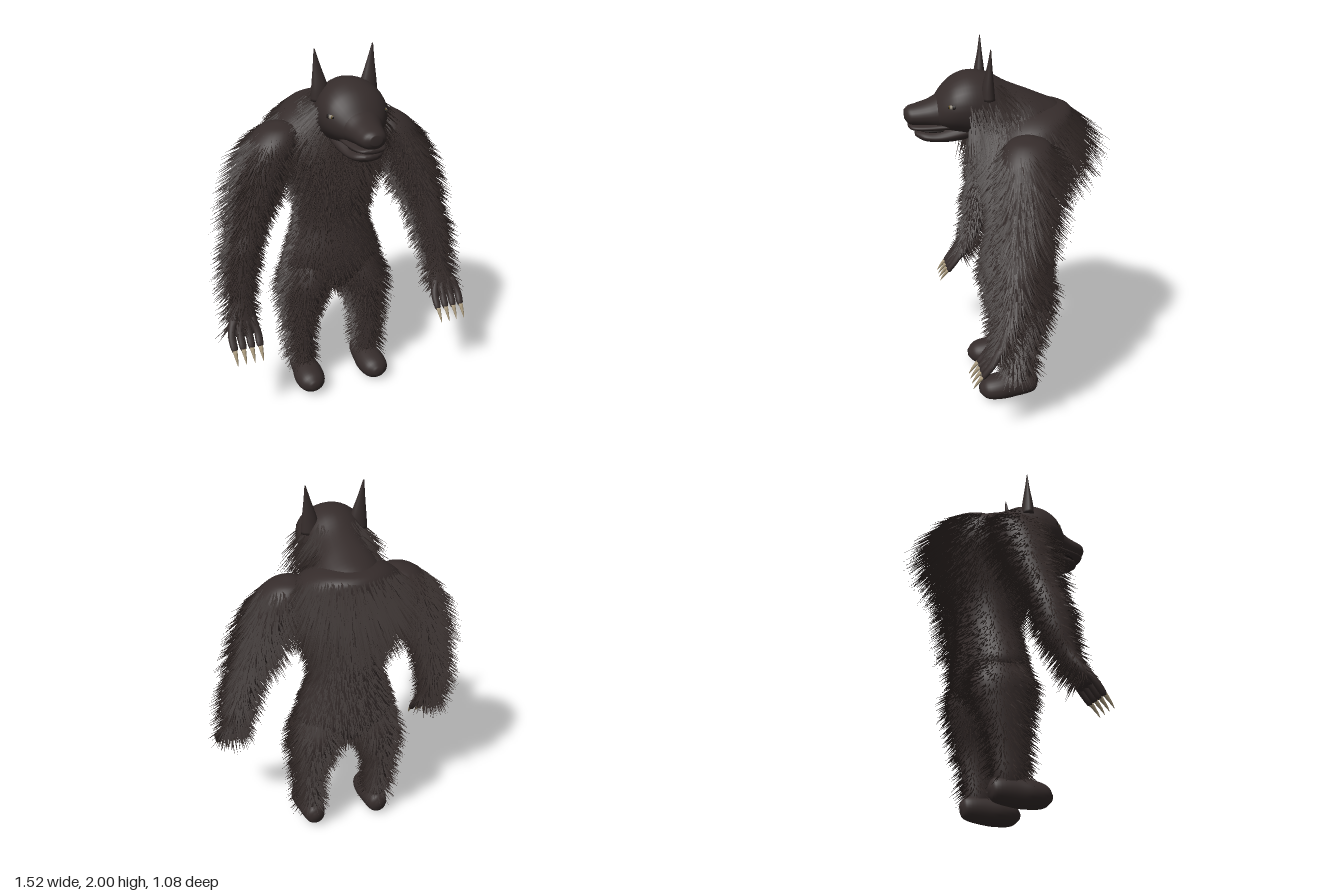
import * as THREE from 'three';

const mat = (name, color, side = THREE.FrontSide) => {
  const m = new THREE.MeshStandardMaterial({ color, side });
  m.name = name;
  return m;
};

// small seeded random source for the fur
let seed = 7;
const rnd = () => {
  seed = (seed * 16807) % 2147483647;
  return seed / 2147483647;
};

// Smooth tube through elliptical rings [x, y, z, r1, r2], listed with the axis ascending.
// axis 'y': horizontal rings (r1 in x, r2 in z); axis 'z': upright rings (r1 in x, r2 in y)
function loft(rings, axis = 'y', sx = 1, sides = 28, per = 5) {
  const mid = new THREE.CatmullRomCurve3(rings.map(r => new THREE.Vector3(r[0] * sx, r[1], r[2])), false, 'catmullrom');
  const rad = new THREE.CatmullRomCurve3(rings.map(r => new THREE.Vector3(r[3], r[4], 0)), false, 'catmullrom');
  const rows = (rings.length - 1) * per, pos = [], idx = [];
  for (let j = -1; j <= rows + 1; j++) {
    const t = Math.min(Math.max(j / rows, 0), 1), cap = j < 0 || j > rows;
    const c = mid.getPoint(t), r = rad.getPoint(t);
    const r1 = cap ? 0 : Math.max(r.x, 0.001), r2 = cap ? 0 : Math.max(r.y, 0.001);
    for (let i = 0; i < sides; i++) {
      const a = i / sides * Math.PI * 2;
      if (axis === 'y') pos.push(c.x + r1 * Math.sin(a), c.y, c.z + r2 * Math.cos(a));
      else pos.push(c.x + r1 * Math.cos(a), c.y + r2 * Math.sin(a), c.z);
    }
  }
  for (let j = 0; j < rows + 2; j++) for (let i = 0; i < sides; i++) {
    const a = j * sides + i, b = j * sides + (i + 1) % sides;
    idx.push(a, b, b + sides, a, b + sides, a + sides);
  }
  const g = new THREE.BufferGeometry();
  g.setAttribute('position', new THREE.Float32BufferAttribute(pos, 3));
  g.setIndex(idx);
  g.computeVertexNormals();
  return g;
}

// Scatter thin three-sided strands over a surface; style(p, n) gives length (0 = bare)
function fur(g, density, style, droop = 0.8) {
  const P = g.attributes.position, ix = g.index.array, out = [];
  const [a, b, c, p, n, d, u, w, tip] = Array.from({ length: 9 }, () => new THREE.Vector3());
  for (let f = 0; f < ix.length; f += 3) {
    a.fromBufferAttribute(P, ix[f]);
    b.fromBufferAttribute(P, ix[f + 1]).sub(a);
    c.fromBufferAttribute(P, ix[f + 2]).sub(a);
    n.crossVectors(b, c);
    const area = n.length() / 2;
    if (area < 1e-8) continue;
    n.normalize();
    const count = Math.floor(area * density + rnd());
    for (let k = 0; k < count; k++) {
      let s = rnd(), t = rnd();
      if (s + t > 1) { s = 1 - s; t = 1 - t; }
      p.copy(a).addScaledVector(b, s).addScaledVector(c, t);
      const len = style(p, n) * (0.55 + 0.8 * rnd());
      if (len <= 0) continue;
      // strands on upward faces lie back instead of standing up
      const up = Math.max(0, n.y);
      d.copy(n).add(new THREE.Vector3((rnd() - 0.5) * 0.3, -droop - 0.8 * up + (rnd() - 0.5) * 0.3, (rnd() - 0.5) * 0.3 - 0.5 * up)).normalize();
      u.crossVectors(d, Math.abs(d.x) < 0.8 ? new THREE.Vector3(1, 0, 0) : new THREE.Vector3(0, 0, 1)).normalize();
      w.crossVectors(d, u);
      tip.copy(p).addScaledVector(d, len);
      const base = [0, 1, 2].map(i => {
        const q = i * Math.PI * 2 / 3, r = 0.0045;
        return p.clone().addScaledVector(n, -0.003).addScaledVector(u, r * Math.cos(q)).addScaledVector(w, r * Math.sin(q));
      });
      for (let i = 0; i < 3; i++) out.push(...base[i].toArray(), ...base[(i + 1) % 3].toArray(), ...tip.toArray());
    }
  }
  const geo = new THREE.BufferGeometry();
  geo.setAttribute('position', new THREE.Float32BufferAttribute(out, 3));
  geo.computeVertexNormals();
  return geo;
}

export function createModel() {
  seed = 7;
  const model = new THREE.Group();
  const hide = mat('hide', 0x352c2b), coat = mat('coat', 0x302725, THREE.DoubleSide);
  const dark = mat('dark mouth', 0x1e1817), horn = mat('claw horn', 0xa39478);
  const eyeWhite = mat('eye', 0x8d8578), iris = mat('iris', 0x5a4a20), black = mat('pupil', 0x0c0a0a);
  const add = (name, geo, m = hide) => {
    const mesh = new THREE.Mesh(geo, m);
    mesh.name = name;
    model.add(mesh);
    return mesh;
  };
  const ball = (name, x, y, z, rx, ry, rz, m = hide) => {
    const s = add(name, new THREE.SphereGeometry(1, 20, 14), m);
    s.position.set(x, y, z);
    s.scale.set(rx, ry, rz);
    return s;
  };

  // torso, hunched at the shoulders
  const torso = loft([
    [0, 0.565, -0.05, 0.02, 0.05], [0, 0.63, -0.06, 0.14, 0.14], [0, 0.73, -0.06, 0.265, 0.18],
    [0, 0.85, -0.06, 0.25, 0.18], [0, 1.0, -0.07, 0.2, 0.165], [0, 1.15, -0.07, 0.205, 0.18],
    [0, 1.3, -0.08, 0.25, 0.215], [0, 1.45, -0.1, 0.3, 0.245], [0, 1.57, -0.13, 0.28, 0.22],
    [0, 1.65, -0.17, 0.18, 0.16], [0, 1.68, -0.18, 0.03, 0.03]], 'y', 1, 36);
  add('torso', torso);
  add('torsoFur', fur(torso, 3600, (p, n) => {
    if (n.y > 0.82 || p.y < 0.6) return 0;
    const back = Math.max(0, -n.z), high = THREE.MathUtils.smoothstep(p.y, 1.05, 1.45);
    return 0.05 + high * (0.05 + 0.1 * back);
  }, 0.95), coat);

  // neck and skull, sloping down from the brow into the muzzle
  const head = loft([
    [0, 1.52, -0.33, 0.04, 0.04], [0, 1.53, -0.28, 0.14, 0.13], [0, 1.56, -0.15, 0.185, 0.165],
    [0, 1.6, 0, 0.16, 0.19], [0, 1.665, 0.1, 0.165, 0.18], [0, 1.69, 0.2, 0.178, 0.17],
    [0, 1.69, 0.28, 0.168, 0.142], [0, 1.675, 0.335, 0.135, 0.11], [0, 1.655, 0.38, 0.09, 0.07],
    [0, 1.65, 0.41, 0.05, 0.04]], 'z', 1, 32);
  add('head', head);
  add('ruffFur', fur(head, 4400, (p, n) => {
    if (p.z > 0.22 || p.y > 1.8) return 0;
    if (p.z > 0.08 && p.y > 1.73) return 0;
    if (n.y > 0.7) return p.z > -0.12 ? 0.045 : 0;
    if (n.y < -0.2) return 0.17;
    return n.y > 0.4 ? 0.08 : 0.13;
  }, 0.9), coat);

  // muzzle, jaw and lips
  add('snout', loft([
    [0, 1.665, 0.25, 0.13, 0.1], [0, 1.66, 0.34, 0.112, 0.092], [0, 1.65, 0.41, 0.088, 0.07],
    [0, 1.645, 0.47, 0.074, 0.057], [0, 1.645, 0.51, 0.06, 0.046], [0, 1.65, 0.532, 0.03, 0.024]], 'z'));
  add('upperLip', loft([
    [0, 1.6, 0.26, 0.11, 0.03], [0, 1.592, 0.36, 0.1, 0.025], [0, 1.588, 0.45, 0.085, 0.02],
    [0, 1.588, 0.5, 0.06, 0.016], [0, 1.59, 0.515, 0.02, 0.008]], 'z'));
  add('lowerJaw', loft([
    [0, 1.58, 0.16, 0.12, 0.06], [0, 1.55, 0.28, 0.11, 0.05], [0, 1.535, 0.37, 0.095, 0.036],
    [0, 1.538, 0.44, 0.075, 0.028], [0, 1.545, 0.48, 0.03, 0.013]], 'z'));
  ball('mouth', 0, 1.568, 0.38, 0.08, 0.012, 0.09, dark);

  for (const s of [1, -1]) {
    const side = s > 0 ? 'left' : 'right';

    // eyes, brows and ears
    ball(side + 'Brow', s * 0.08, 1.75, 0.262, 0.072, 0.035, 0.055);
    ball(side + 'LowerLid', s * 0.125, 1.685, 0.275, 0.04, 0.022, 0.037);
    ball(side + 'EyeSocket', s * 0.13, 1.713, 0.292, 0.032, 0.022, 0.022, dark);
    ball(side + 'Eye', s * 0.132, 1.713, 0.302, 0.024, 0.016, 0.02, eyeWhite);
    ball(side + 'Iris', s * 0.136, 1.713, 0.313, 0.012, 0.012, 0.011, iris);
    ball(side + 'Pupil', s * 0.138, 1.713, 0.319, 0.006, 0.006, 0.007, black);
    add(side + 'Ear', loft([
      [0.13, 1.74, 0.12, 0.05, 0.035], [0.132, 1.81, 0.12, 0.043, 0.029],
      [0.144, 1.91, 0.114, 0.021, 0.013], [0.155, 2.0, 0.11, 0.003, 0.002]], 'y', s, 16));

    // arm, narrowing to the wrist and widening into the palm
    const arm = loft([
      [0.595, 0.515, 0.195, 0.055, 0.025], [0.59, 0.58, 0.155, 0.076, 0.04], [0.58, 0.68, 0.11, 0.062, 0.058],
      [0.565, 0.8, 0.07, 0.078, 0.085], [0.54, 0.95, 0.045, 0.088, 0.1], [0.5, 1.06, 0.025, 0.09, 0.1],
      [0.45, 1.2, 0, 0.11, 0.125], [0.4, 1.35, -0.02, 0.13, 0.14], [0.34, 1.48, -0.04, 0.135, 0.145],
      [0.3, 1.56, -0.05, 0.095, 0.1], [0.29, 1.59, -0.05, 0.02, 0.02]], 'y', s);
    add(side + 'Arm', arm);
    add(side + 'ArmFur', fur(arm, 3700, (p, n) => {
      if (n.y > 0.78 || p.y < 0.53) return 0;
      const out = Math.max(0, n.x * s, -n.z);
      return 0.05 + out * (p.y > 1.1 ? 0.085 : 0.045);
    }), coat);

    // four fingers with curved claws
    for (let i = 0; i < 4; i++) {
      const x = 0.527 + i * 0.047;
      add(side + 'Finger' + (i + 1), loft([
        [x, 0.455, 0.255, 0.013, 0.013], [x, 0.478, 0.243, 0.02, 0.02],
        [x, 0.53, 0.205, 0.02, 0.022], [x * 0.7 + 0.178, 0.6, 0.16, 0.022, 0.026]], 'y', s, 10, 3));
      add(side + 'Claw' + (i + 1), loft([
        [x, 0.398, 0.308, 0.001, 0.001], [x, 0.425, 0.29, 0.007, 0.008],
        [x, 0.468, 0.255, 0.014, 0.016]], 'y', s, 8, 3), horn);
    }

    // leg
    const leg = loft([
      [0.19, 0.08, -0.03, 0.05, 0.07], [0.195, 0.16, -0.025, 0.062, 0.088], [0.2, 0.28, -0.03, 0.064, 0.1],
      [0.2, 0.4, -0.04, 0.078, 0.115], [0.18, 0.52, -0.05, 0.108, 0.15], [0.16, 0.65, -0.05, 0.132, 0.175],
      [0.14, 0.78, -0.05, 0.1, 0.13], [0.13, 0.86, -0.05, 0.04, 0.06]], 'y', s);
    add(side + 'Leg', leg);
    add(side + 'LegFur', fur(leg, 3300, (p, n) =>
      p.y < 0.14 || n.y > 0.8 ? 0 : 0.05 + 0.03 * Math.max(0, -n.z, n.x * s)), coat);

    // rounded foot
    add(side + 'Foot', loft([
      [0.19, 0.085, -0.14, 0.015, 0.015], [0.19, 0.08, -0.11, 0.055, 0.06], [0.19, 0.078, 0, 0.074, 0.077],
      [0.193, 0.074, 0.08, 0.084, 0.073], [0.195, 0.07, 0.155, 0.07, 0.058], [0.195, 0.068, 0.195, 0.025, 0.022]], 'z', s));
  }
  return model;
}
